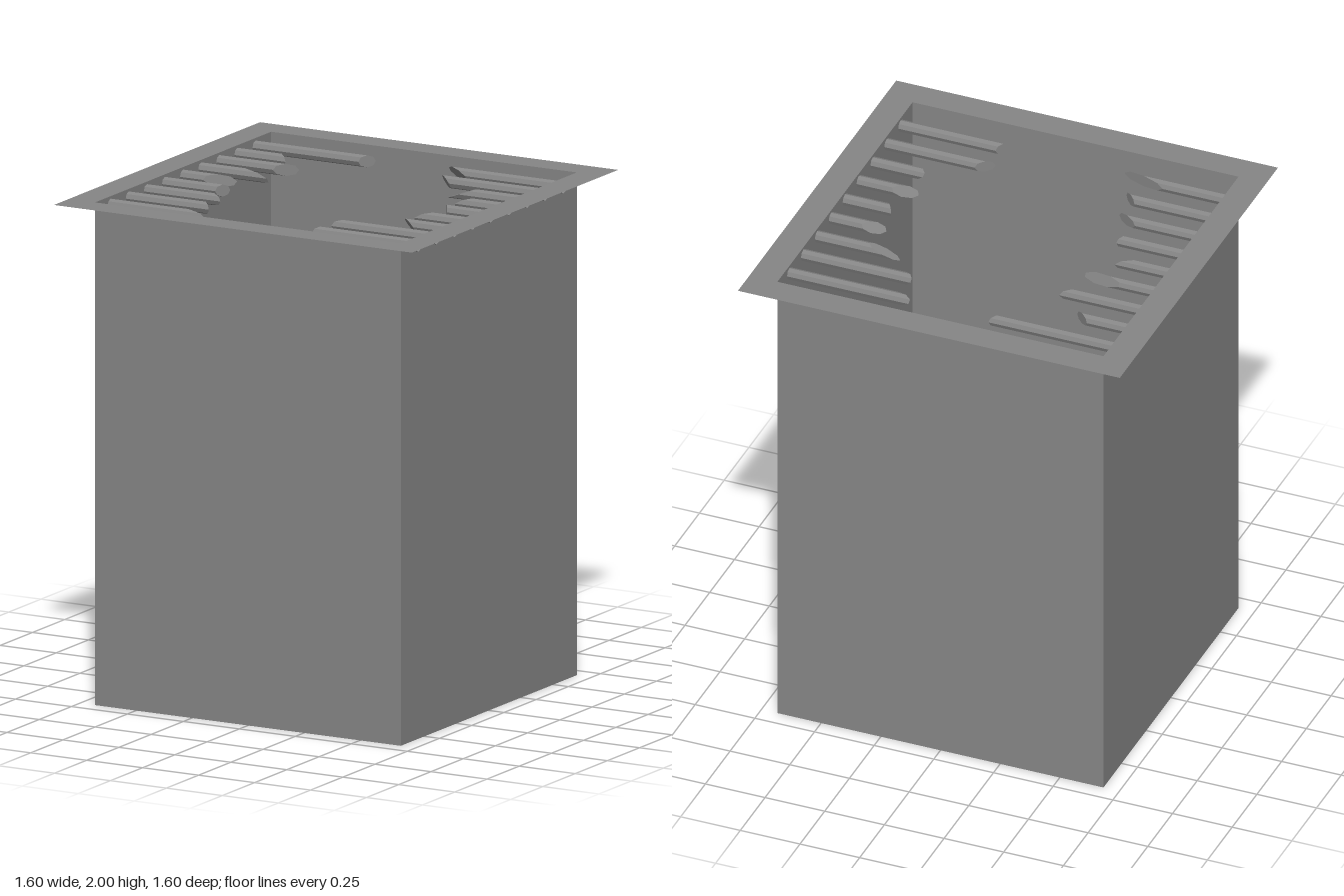
import * as THREE from 'three';

const HALF = 0.683, RIM = 0.8, TOP = 2;
const POLE_R = 0.024, POLE_Y = 1.966, OUTER = 0.692;

// Broken tips, from back to front: distance of the tip from the centre line
// at the pole's back edge, at its front edge, and the slant from bottom to top.
const RIGHT_TIPS = [
  [0.16, 0.21, 0], [0.515, 0.455, 0], [0.34, 0.43, 0],
  [0.53, 0.375, 0.07], [0.455, 0.58, 0.02], [0.405, 0.445, 0],
  [0.425, 0.34, 0], [0.365, 0.312, 0], [0.425, 0.245, 0],
];
const LEFT_TIPS = [
  [0.175, 0.265, -0.05], [0.225, 0.275, -0.03], [0.4, 0.4, 0.13],
  [0.54, 0.465, 0.05], [0.48, 0.51, 0], [0.53, 0.445, 0.05],
  [0.465, 0.52, -0.04], [0.305, 0.235, 0], [0.275, 0.23, 0],
];

const grey = (color) => new THREE.MeshStandardMaterial({
  color, flatShading: true, side: THREE.DoubleSide,
});
const lightGrey = grey(0xcccccc), darkGrey = grey(0x868686);

function add(group, name, geometry, material = darkGrey) {
  const mesh = new THREE.Mesh(geometry, material);
  mesh.name = name;
  group.add(mesh);
  return mesh;
}

// Octagonal pole along x, open at the wall, with a slanted cut at its inner end
function poleGeometry(side, [back, front, slant]) {
  const geometry = new THREE.CylinderGeometry(POLE_R, POLE_R, 1, 8);
  const [sides, , innerCap] = geometry.groups;
  const index = Array.from(geometry.index.array);
  geometry.setIndex([...index.slice(0, sides.count), ...index.slice(innerCap.start)]);
  geometry.clearGroups();
  geometry.rotateZ(-side * Math.PI / 2);
  const p = geometry.attributes.position;
  for (let i = 0; i < p.count; i++) {
    const outer = p.getX(i) * side > 0;
    const v = p.getZ(i) / POLE_R, u = p.getY(i) / POLE_R;
    const tip = (back + front) / 2 + (front - back) / 2 * v + slant / 2 * u;
    p.setX(i, side * (outer ? OUTER : tip));
  }
  geometry.computeVertexNormals();
  return geometry;
}

export function createModel() {
  const model = new THREE.Group();
  model.name = 'pitTrap';

  // Floor
  add(model, 'floor', new THREE.PlaneGeometry(2 * HALF, 2 * HALF).rotateX(-Math.PI / 2), lightGrey);

  // Four thin walls
  const walls = new THREE.Group();
  walls.name = 'walls';
  for (let i = 0; i < 4; i++) {
    const wall = new THREE.PlaneGeometry(2 * HALF, TOP);
    wall.translate(0, TOP / 2, HALF).rotateY(i * Math.PI / 2);
    add(walls, 'wall', wall);
  }
  model.add(walls);

  // Flat rim around the opening
  const square = (s) => [[-s, -s], [s, -s], [s, s], [-s, s]].map(([x, y]) => new THREE.Vector2(x, y));
  const rim = new THREE.Shape(square(RIM));
  rim.holes.push(new THREE.Path(square(HALF).reverse()));
  add(model, 'rim', new THREE.ShapeGeometry(rim).rotateX(-Math.PI / 2).translate(0, TOP, 0));

  // Two rows of broken poles just under the rim
  for (const [side, name, tips] of [[-1, 'rightPoles', RIGHT_TIPS], [1, 'leftPoles', LEFT_TIPS]]) {
    const row = new THREE.Group();
    row.name = name;
    tips.forEach((tip, i) => {
      add(row, 'brokenPole', poleGeometry(side, tip)).position.set(0, POLE_Y, (i - 4) * 0.1405);
    });
    model.add(row);
  }
  return model;
}
